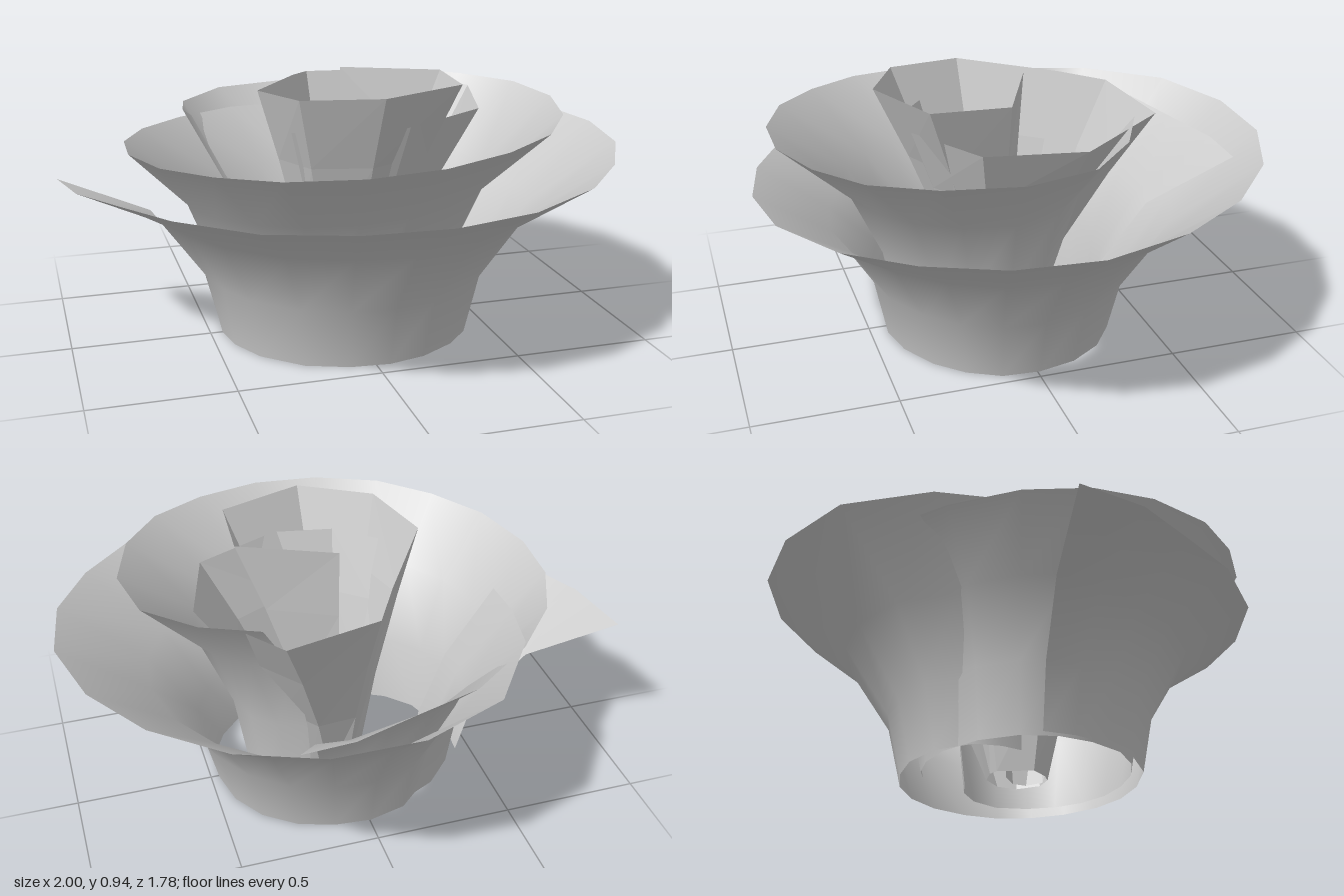
import * as THREE from 'three';

// Builds one curled petal sheet. rim: [x, z] points along its top edge,
// base(u): radius of the bottom edge, height(u): height of the rim,
// profile: [fixed height, share of rim height, flare fraction] rows, bottom to top.
function petalSheet(name, rim, base, height, profile, faceted) {
  const rows = profile.length;
  const positions = [];
  const index = [];
  rim.forEach(([x, z], i) => {
    const u = i / (rim.length - 1);
    const rimRadius = Math.hypot(x, z);
    for (const [fixed, share, flare] of profile) {
      const r = THREE.MathUtils.lerp(base(u), rimRadius, flare);
      positions.push((x / rimRadius) * r, fixed + height(u) * share, (z / rimRadius) * r);
    }
  });
  for (let i = 0; i < rim.length - 1; i++) {
    for (let j = 0; j < rows - 1; j++) {
      const a = i * rows + j;
      const b = a + rows;
      index.push(a, b, b + 1, a, b + 1, a + 1);
    }
  }
  const geometry = new THREE.BufferGeometry();
  geometry.setAttribute('position', new THREE.Float32BufferAttribute(positions, 3));
  geometry.setIndex(index);
  geometry.computeVertexNormals();
  const material = new THREE.MeshStandardMaterial({
    color: 0xcccccc, side: THREE.DoubleSide, flatShading: faceted,
  });
  const mesh = new THREE.Mesh(geometry, material);
  mesh.name = name;
  return mesh;
}

// Piecewise linear value along a petal
function along(values) {
  return (u) => {
    const t = u * (values.length - 1);
    const i = Math.min(Math.floor(t), values.length - 2);
    return THREE.MathUtils.lerp(values[i], values[i + 1], t - i);
  };
}

export function createModel() {
  const flower = new THREE.Group();
  flower.name = 'spiralFlower';

  const outerProfile = [[0, 0, 0], [0.22, 0, 0.1], [0.315, 0.22, 0.42], [0, 1, 1]];
  const middleProfile = [[0, 0, 0], [0, 0.34, 0.11], [0, 0.71, 0.42], [0, 1, 1]];
  const conical = [[0, 0, 0], [0, 0.36, 0.28], [0, 0.72, 0.66], [0, 1, 1]];

  // Outer petal: starts with a tail on the right, ends tucked inside the middle one
  flower.add(petalSheet('outerPetal', [
    [-1, -0.25], [-0.95, 0], [-0.82, 0.24], [-0.69, 0.47], [-0.46, 0.71],
    [-0.18, 0.84], [0.1, 0.89], [0.38, 0.85], [0.65, 0.7], [0.83, 0.5],
    [0.96, 0.26], [1, -0.02], [0.93, -0.31], [0.78, -0.56], [0.56, -0.76],
    [0.29, -0.88], [-0.01, -0.89], [-0.3, -0.78], [-0.49, -0.52],
    [-0.52, -0.34], [-0.51, -0.2],
  ], along([0.46, 0.45, 0.435, 0.45, 0.475, 0.46, 0.41, 0.39, 0.28]),
  along([0.56, 0.62, 0.685, 0.735, 0.775]), outerProfile, false));

  // Middle petal: starts inside the back of the outer one
  flower.add(petalSheet('middlePetal', [
    [0.35, -0.76], [0.17, -0.76], [-0.05, -0.7], [-0.28, -0.64],
    [-0.51, -0.48], [-0.68, -0.29], [-0.77, -0.08], [-0.78, 0.14],
    [-0.71, 0.38], [-0.57, 0.57], [-0.39, 0.72], [-0.15, 0.8], [0.1, 0.8],
    [0.34, 0.72], [0.54, 0.59], [0.68, 0.39], [0.75, 0.14], [0.71, -0.1],
    [0.55, -0.27], [0.36, -0.37],
  ], along([0.33, 0.36, 0.43, 0.43, 0.38, 0.36, 0.34, 0.2]),
  along([0.67, 0.705, 0.74, 0.785, 0.835, 0.87]), middleProfile, false));

  // Inner petal: a tight faceted curl that begins and ends in the heart
  flower.add(petalSheet('innerPetal', [
    [-0.24, 0.22], [-0.08, 0.33], [0.14, 0.35], [0.45, 0.19],
    [0.54, -0.14], [0.31, -0.47], [-0.02, -0.42], [-0.11, -0.27],
    [-0.32, 0.06], [-0.24, 0.33], [0.02, 0.45], [0.33, 0.33],
    [0.35, 0.06], [0.02, -0.09],
  ], along([0.1, 0.12, 0.11, 0.1, 0.1, 0.04]),
  along([0.79, 0.82, 0.855, 0.905, 0.945, 0.945]), conical, true));

  return flower;
}
